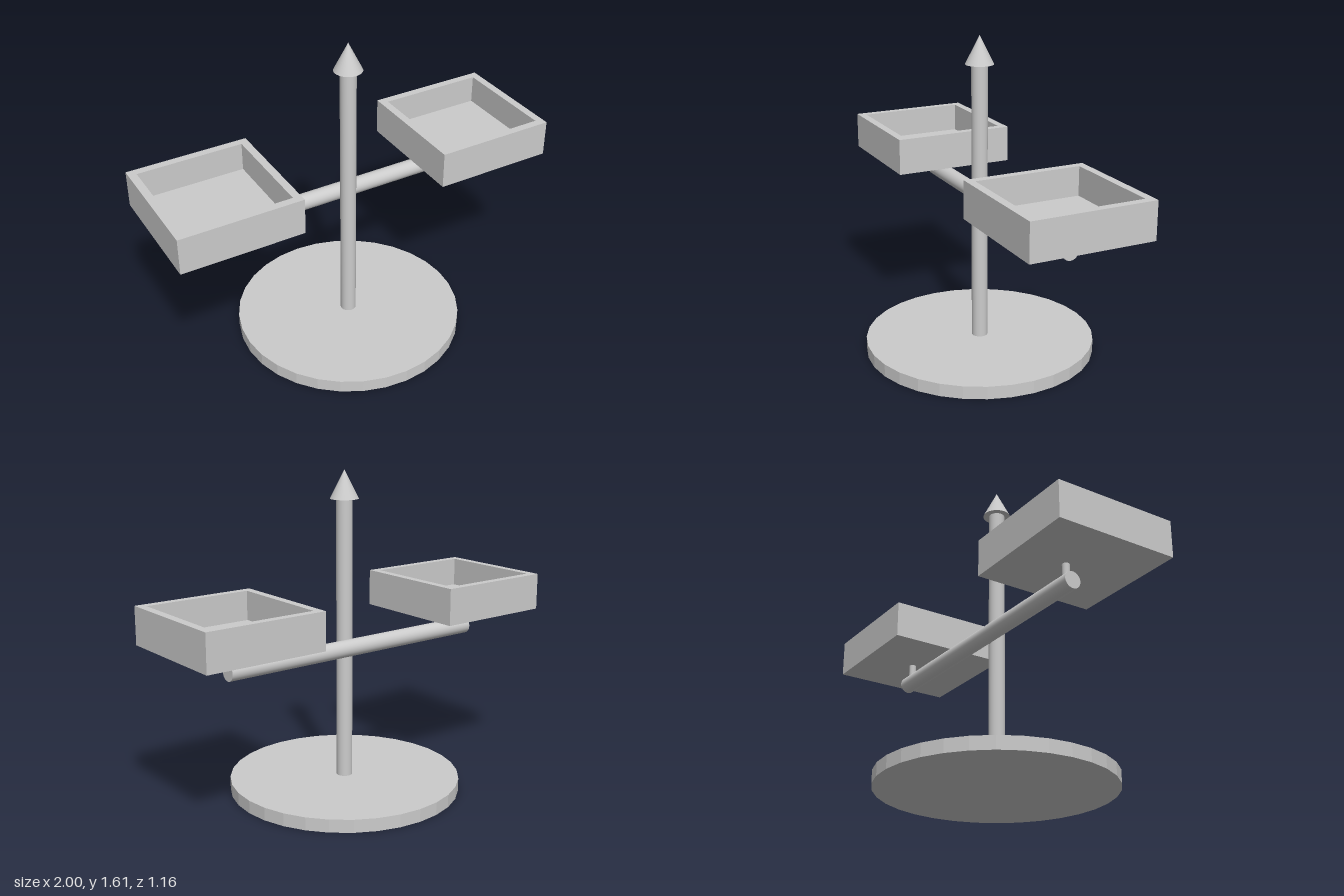
import * as THREE from 'three';

export function createModel() {
  const model = new THREE.Group();
  const smooth = new THREE.MeshStandardMaterial({ color: 0xcccccc });
  const flat = new THREE.MeshStandardMaterial({ color: 0xcccccc, flatShading: true });

  const add = (name, geometry, material, x = 0, y = 0, z = 0) => {
    const mesh = new THREE.Mesh(geometry, material);
    mesh.name = name;
    mesh.position.set(x, y, z);
    model.add(mesh);
    return mesh;
  };
  const rod = (r, length) => new THREE.CylinderGeometry(r, r, length, 32);

  // Faceted round base, post and pointed cap
  add('base', new THREE.CylinderGeometry(0.58, 0.58, 0.065, 32), flat, 0, 0.0325, 0);
  add('post', rod(0.04, 1.41), smooth, 0, 0.77, 0);
  add('finial', new THREE.ConeGeometry(0.07, 0.14, 32), smooth, 0, 1.54, 0);

  // Crossbar behind the post, pinned to it
  const barY = 0.753, barZ = -0.088;
  add('crossbar', rod(0.042, 1.47), smooth, 0, barY, barZ).rotation.z = Math.PI / 2;
  add('crossbarPin', rod(0.018, 0.09), smooth, 0, barY, -0.045).rotation.x = Math.PI / 2;

  // Open tray: square ring of walls with a floor set inside
  const outer = 0.31, inner = 0.27, height = 0.185, floor = 0.04;
  const square = (h, Path) => new Path([
    new THREE.Vector2(-h, -h), new THREE.Vector2(h, -h),
    new THREE.Vector2(h, h), new THREE.Vector2(-h, h),
  ]);
  const wallShape = square(outer, THREE.Shape);
  wallShape.holes.push(square(inner, THREE.Path));
  const walls = new THREE.ExtrudeGeometry(wallShape, { depth: height, bevelEnabled: false });
  walls.rotateX(-Math.PI / 2);
  const floorBox = new THREE.BoxGeometry(inner * 2, floor, inner * 2);

  // A tray on a short peg at each end of the bar
  const trayY = 0.85, trayZ = -0.043;
  for (const [side, s] of [['left', 1], ['right', -1]]) {
    add(side + 'TrayWalls', walls, flat, s * 0.69, trayY, trayZ);
    add(side + 'TrayFloor', floorBox, flat, s * 0.69, trayY + floor / 2, trayZ);
    add(side + 'Peg', rod(0.018, 0.1), smooth, s * 0.688, 0.81, barZ);
  }
  return model;
}
